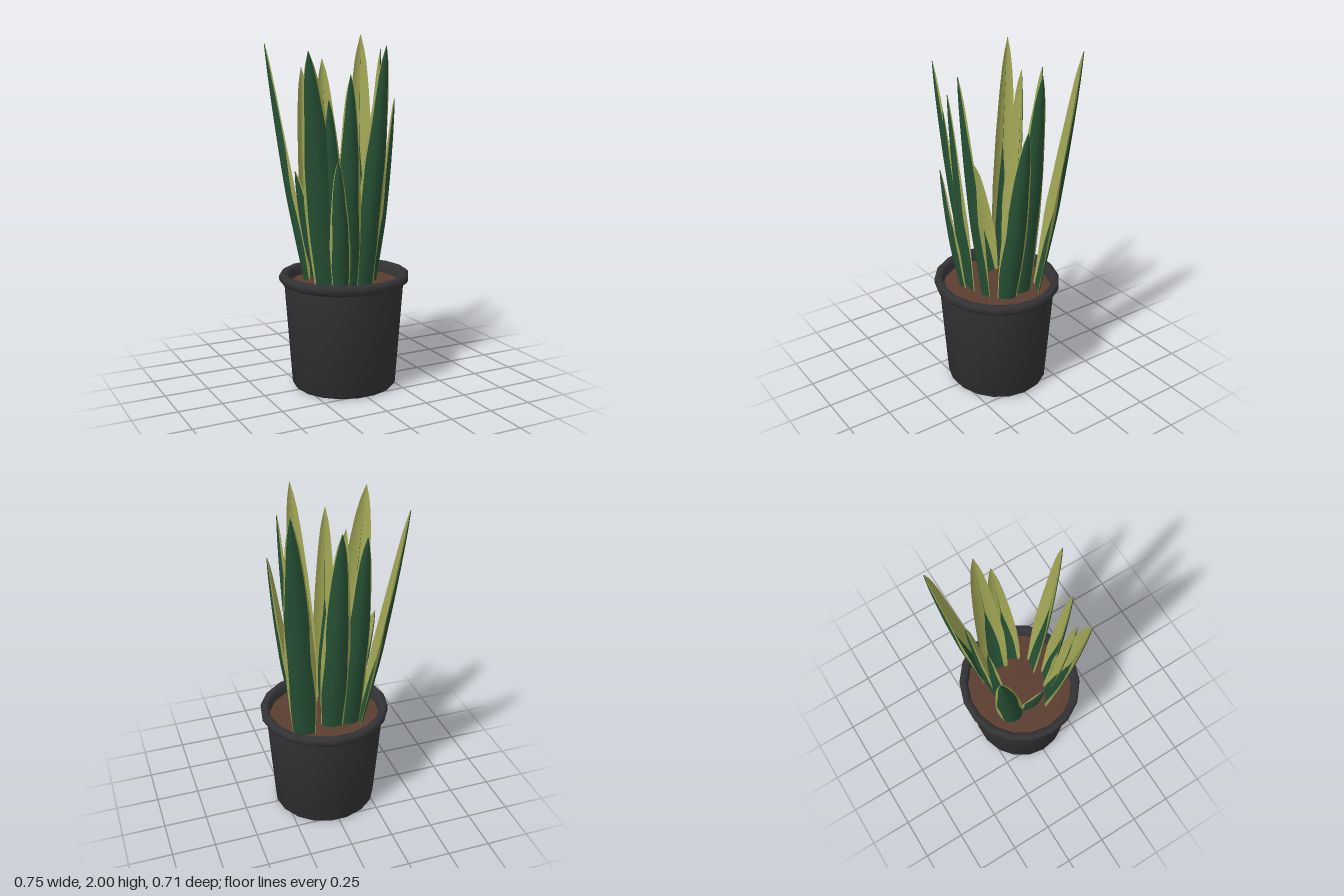
import * as THREE from 'three';
import { toCreasedNormals } from 'three/addons/utils/BufferGeometryUtils.js';

const paint = (color) => new THREE.MeshStandardMaterial({ color });
const potMat = paint(0x333335);
const soilMat = paint(0x5a3d30);
const greenMat = paint(0x265034);
const yellowMat = paint(0xa0a554);

// Piecewise-linear lookup in [t, value] pairs
function ramp(points, t) {
  for (let i = 1; i < points.length; i++) {
    const [t0, a] = points[i - 1], [t1, b] = points[i];
    if (t <= t1) return a + (b - a) * (t - t0) / (t1 - t0);
  }
  return points[points.length - 1][1];
}

const WIDTH = [[0, 0.76], [0.2, 0.94], [0.38, 1], [0.6, 0.83], [0.8, 0.58], [0.92, 0.36], [1, 0.02]];
const CHANNEL = [[0, 0.03], [0.35, 0.24], [1, 0.24]];
const OUTER_GREEN = [[0, 0.92], [0.2, 0.88], [0.4, 0.76], [0.55, 0.88], [0.8, 0.84], [1, 0.8]];
const INNER_GREEN = [[0, 0.68], [0.25, 0.5], [0.42, 0.24], [0.55, 0.02], [1, 0]];
const ROWS = 18;

// Strip of a leaf between two limits across its width, both given as functions of height
function strip(surface, from, to, cols, flip) {
  const pos = [], index = [];
  for (let r = 0; r <= ROWS; r++) {
    const t = r / ROWS;
    for (let c = 0; c <= cols; c++) {
      const u = from(t) + (to(t) - from(t)) * c / cols;
      pos.push(...surface(u, t).toArray());
      if (r < ROWS && c < cols) {
        const a = r * (cols + 1) + c, b = a + 1, d = a + cols + 1, e = d + 1;
        if (flip) index.push(a, d, b, b, d, e);
        else index.push(a, b, d, b, e, d);
      }
    }
  }
  const g = new THREE.BufferGeometry();
  g.setAttribute('position', new THREE.Float32BufferAttribute(pos, 3));
  g.setIndex(index);
  g.computeVertexNormals();
  return g;
}

// Shallow channelled leaf: green back with a pale margin, pale inside with a green flame
function makeLeaf([bx, bz, tx, ty, tz, width, ox, oz], i) {
  const leaf = new THREE.Group();
  leaf.name = `leaf${i + 1}`;
  const base = new THREE.Vector3(bx, 0.57, bz);
  const tip = new THREE.Vector3(tx, ty, tz);
  const out = new THREE.Vector3(ox, 0, oz).normalize();
  const across = new THREE.Vector3(out.z, 0, -out.x);
  const surface = (thick) => (u, t) => {
    const w = width * ramp(WIDTH, t);
    const bulge = w * ramp(CHANNEL, t) * (0.4 - u * u) + thick * (1 - u * u) * (1 - t * 0.8)
      + 0.01 * Math.sin(Math.PI * t);
    return base.clone().lerp(tip, t).addScaledVector(across, u * w / 2).addScaledVector(out, bulge);
  };
  for (const [side, thick, limits, flip] of [
    ['outer', 0.018, OUTER_GREEN, false], ['inner', 0, INNER_GREEN, true],
  ]) {
    const s = surface(thick);
    const wave = (t, k) => ramp(limits, t) * (1 + 0.06 * Math.sin(t * 11 + i * 2 + k));
    const right = (t) => Math.min(0.95, wave(t, 0)), left = (t) => -Math.min(0.95, wave(t, 2));
    const add = (name, mat, from, to, cols) => {
      const mesh = new THREE.Mesh(strip(s, from, to, cols, flip), mat);
      mesh.name = `${side}${name}`;
      leaf.add(mesh);
    };
    add('Green', greenMat, left, right, 6);
    add('MarginLeft', yellowMat, right, () => 1, 3);
    add('MarginRight', yellowMat, () => -1, left, 3);
  }
  return leaf;
}

// base x, base z, tip x, tip y, tip z, width, direction the back faces (x, z)
const LEAVES = [
  [-0.163, -0.14, -0.343, 1.945, -0.312, 0.145, -0.94, -0.2],
  [-0.1, -0.145, -0.142, 1.81, -0.264, 0.16, 0, -1],
  [0.0, -0.14, 0.005, 1.86, -0.295, 0.16, 0.3, -0.95],
  [0.17, -0.153, 0.285, 2.0, -0.343, 0.17, 0.42, -0.9],
  [0.15, -0.058, 0.278, 1.915, -0.09, 0.155, 0.95, 0.25],
  [0.158, 0.042, 0.308, 1.64, 0.018, 0.14, 0.9, 0.44],
  [-0.132, -0.045, -0.285, 1.25, -0.035, 0.15, -1, 0.05],
  [-0.14, 0.085, -0.312, 1.9, 0.203, 0.19, -0.47, 0.88],
  [-0.1, 0.16, -0.17, 1.33, 0.26, 0.115, -0.3, 0.95],
  [-0.045, 0.137, -0.09, 1.78, 0.25, 0.135, -0.35, 0.94],
  [0.058, 0.113, 0.095, 1.93, 0.3, 0.142, -0.18, 0.98],
  [-0.095, 0.13, -0.2, 1.65, 0.212, 0.12, -0.45, 0.9],
];

export function createModel() {
  const model = new THREE.Group();
  model.name = 'pottedPlant';

  // Tapered pot with a thick rolled rim
  const profile = [[0, 0], [0.29, 0], [0.303, 0.015], [0.346, 0.6], [0.366, 0.61], [0.375, 0.625],
    [0.375, 0.65], [0.365, 0.661], [0.338, 0.661], [0.327, 0.65], [0.322, 0.58]]
    .map(([x, y]) => new THREE.Vector2(x, y));
  const potGeo = toCreasedNormals(new THREE.LatheGeometry(profile, 18, Math.PI / 2), 0.9);
  const pot = new THREE.Mesh(potGeo, potMat);
  pot.name = 'pot';
  pot.scale.z = 0.957;
  model.add(pot);

  // Soil, slightly mounded
  const soilProfile = [[0.326, 0.598], [0.2, 0.606], [0, 0.61]].map(([x, y]) => new THREE.Vector2(x, y));
  const soil = new THREE.Mesh(new THREE.LatheGeometry(soilProfile, 18, Math.PI / 2), soilMat);
  soil.name = 'soil';
  soil.scale.z = 0.957;
  model.add(soil);

  // Ring of upright leaves
  const leaves = new THREE.Group();
  leaves.name = 'leaves';
  LEAVES.forEach((spec, i) => leaves.add(makeLeaf(spec, i)));
  model.add(leaves);
  return model;
}
